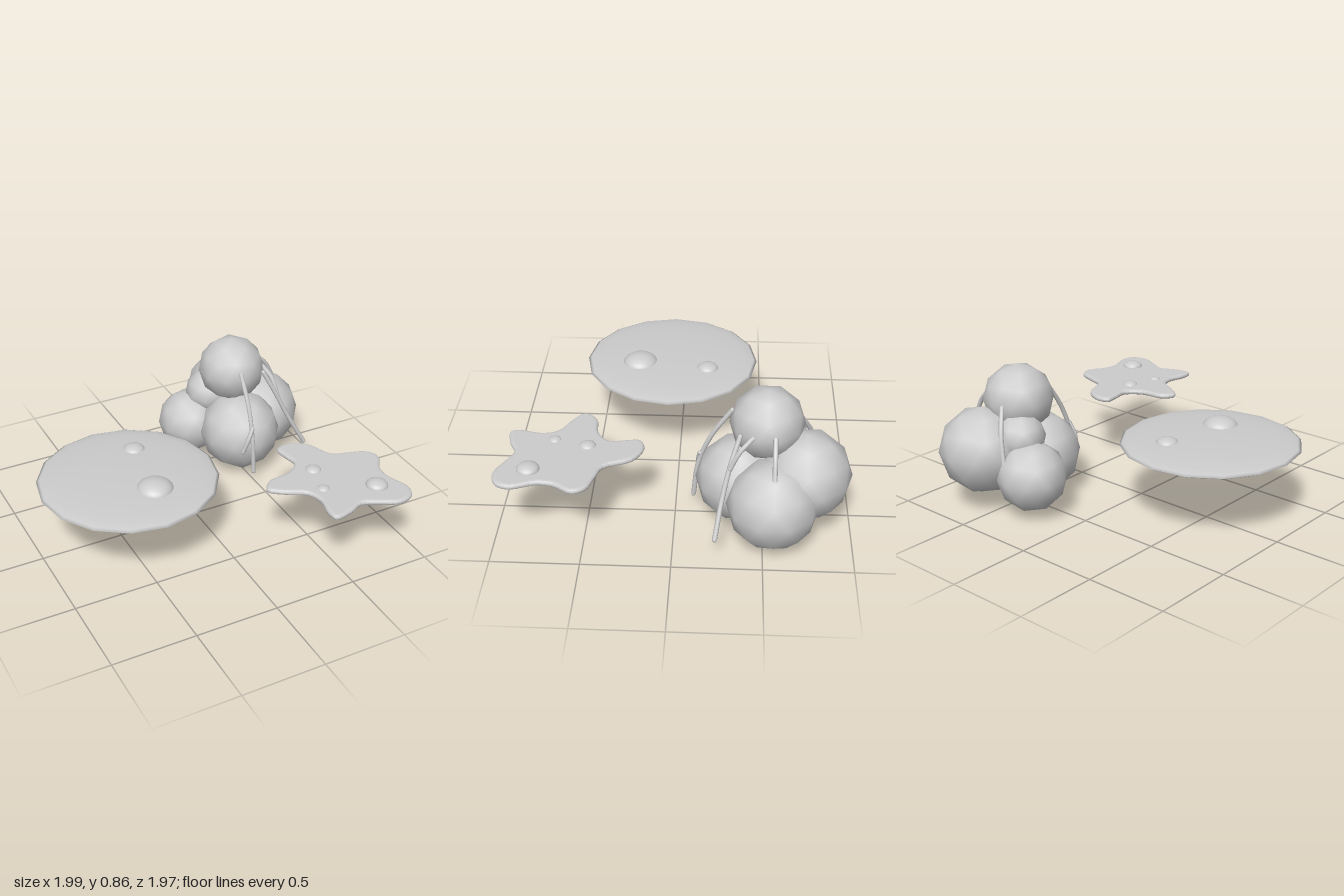
import * as THREE from 'three';

const grey = new THREE.MeshStandardMaterial({ color: 0xcccccc });

function add(parent, name, geometry, x = 0, y = 0, z = 0) {
  const mesh = new THREE.Mesh(geometry, grey);
  mesh.name = name;
  mesh.position.set(x, y, z);
  parent.add(mesh);
  return mesh;
}

// low-poly ball with a corner pointing up
function ball(parent, name, x, y, z, r) {
  const g = new THREE.IcosahedronGeometry(r, 1);
  g.rotateZ(-Math.atan(2 / (1 + Math.sqrt(5))));
  return add(parent, name, g, x, y, z);
}

// squashed sphere used for the disc and all the bumps
function pebble(parent, name, x, y, z, r, h, sides = 24) {
  const g = new THREE.SphereGeometry(r, sides, 12);
  g.scale(1, h / r, 1);
  return add(parent, name, g, x, y, z);
}

// thin strand through a few points, with rounded ends
function strand(parent, name, points, r = 0.014) {
  const pts = points.map(p => new THREE.Vector3(...p));
  const group = new THREE.Group();
  group.name = name;
  add(group, name + 'Tube', new THREE.TubeGeometry(new THREE.CatmullRomCurve3(pts), 16, r, 8));
  for (const p of [pts[0], pts[pts.length - 1]])
    add(group, name + 'End', new THREE.SphereGeometry(r, 8, 6), p.x, p.y, p.z);
  parent.add(group);
}

export function createModel() {
  const model = new THREE.Group();

  // round flat cell with two bumps
  const disc = new THREE.Group();
  disc.name = 'roundDisc';
  pebble(disc, 'discBody', -0.47, 0.45, 0.065, 0.53, 0.04, 16);
  pebble(disc, 'largeBump', -0.39, 0.465, 0.26, 0.11, 0.065);
  pebble(disc, 'smallBump', -0.33, 0.475, -0.16, 0.066, 0.035);
  model.add(disc);

  // five-armed flat cell, outline given as x, z
  const star = new THREE.Group();
  star.name = 'starDisc';
  const outline = [
    [0.446, 0.2], [0.52, 0.172], [0.634, 0.23], [0.71, 0.385], [0.794, 0.417],
    [0.91, 0.46], [0.945, 0.535], [0.885, 0.64], [0.875, 0.73], [0.92, 0.87],
    [0.89, 0.95], [0.795, 0.98], [0.68, 0.93], [0.59, 0.893], [0.5, 0.93],
    [0.39, 0.945], [0.377, 0.88], [0.4, 0.765], [0.37, 0.674], [0.27, 0.615],
    [0.184, 0.54], [0.243, 0.465], [0.377, 0.444], [0.46, 0.374], [0.45, 0.28],
  ].map(([x, z]) => new THREE.Vector3(x, -z, 0));
  const curve = new THREE.CatmullRomCurve3(outline, true);
  const shape = new THREE.Shape(curve.getPoints(100).slice(0, -1).map(p => new THREE.Vector2(p.x, p.y)));
  const body = new THREE.ExtrudeGeometry(shape, {
    depth: 0.006, bevelEnabled: true, bevelThickness: 0.014, bevelSize: 0.022,
    bevelOffset: -0.022, bevelSegments: 3,
  });
  body.rotateX(-Math.PI / 2);
  add(star, 'starBody', body, 0, 0.447, 0);
  pebble(star, 'starBump', 0.52, 0.46, 0.49, 0.048, 0.026);
  pebble(star, 'starBump', 0.47, 0.46, 0.68, 0.037, 0.02);
  pebble(star, 'starBump', 0.76, 0.465, 0.79, 0.065, 0.035);
  model.add(star);

  // heap of balls
  const cluster = new THREE.Group();
  cluster.name = 'ballCluster';
  ball(cluster, 'topBall', 0.515, 0.65, -0.51, 0.21);
  ball(cluster, 'frontBall', 0.507, 0.27, -0.37, 0.255);
  ball(cluster, 'leftBall', 0.746, 0.265, -0.55, 0.26);
  ball(cluster, 'rightBall', 0.29, 0.255, -0.64, 0.21);
  ball(cluster, 'backBall', 0.6, 0.37, -0.73, 0.26);
  ball(cluster, 'middleBall', 0.405, 0.46, -0.61, 0.15);
  model.add(cluster);

  // strands hanging from the top ball
  const strands = new THREE.Group();
  strands.name = 'strands';
  strand(strands, 'frontStrand', [[0.48, 0.7, -0.315], [0.475, 0.52, -0.2], [0.468, 0.33, -0.13], [0.467, 0.11, -0.105]]);
  strand(strands, 'frontBranch', [[0.47, 0.4, -0.14], [0.435, 0.33, -0.13], [0.408, 0.25, -0.14]]);
  strand(strands, 'cornerStrand', [[0.665, 0.65, -0.36], [0.735, 0.5, -0.31], [0.81, 0.33, -0.27], [0.915, 0.135, -0.235]]);
  strand(strands, 'cornerBranch', [[0.695, 0.66, -0.43], [0.73, 0.59, -0.36], [0.745, 0.49, -0.31]]);
  strand(strands, 'sideStrand', [[0.71, 0.67, -0.55], [0.785, 0.6, -0.55], [0.845, 0.49, -0.55]]);
  strand(strands, 'backStrand', [[0.455, 0.65, -0.7], [0.4, 0.52, -0.765], [0.35, 0.35, -0.8]]);
  model.add(strands);

  return model;
}
